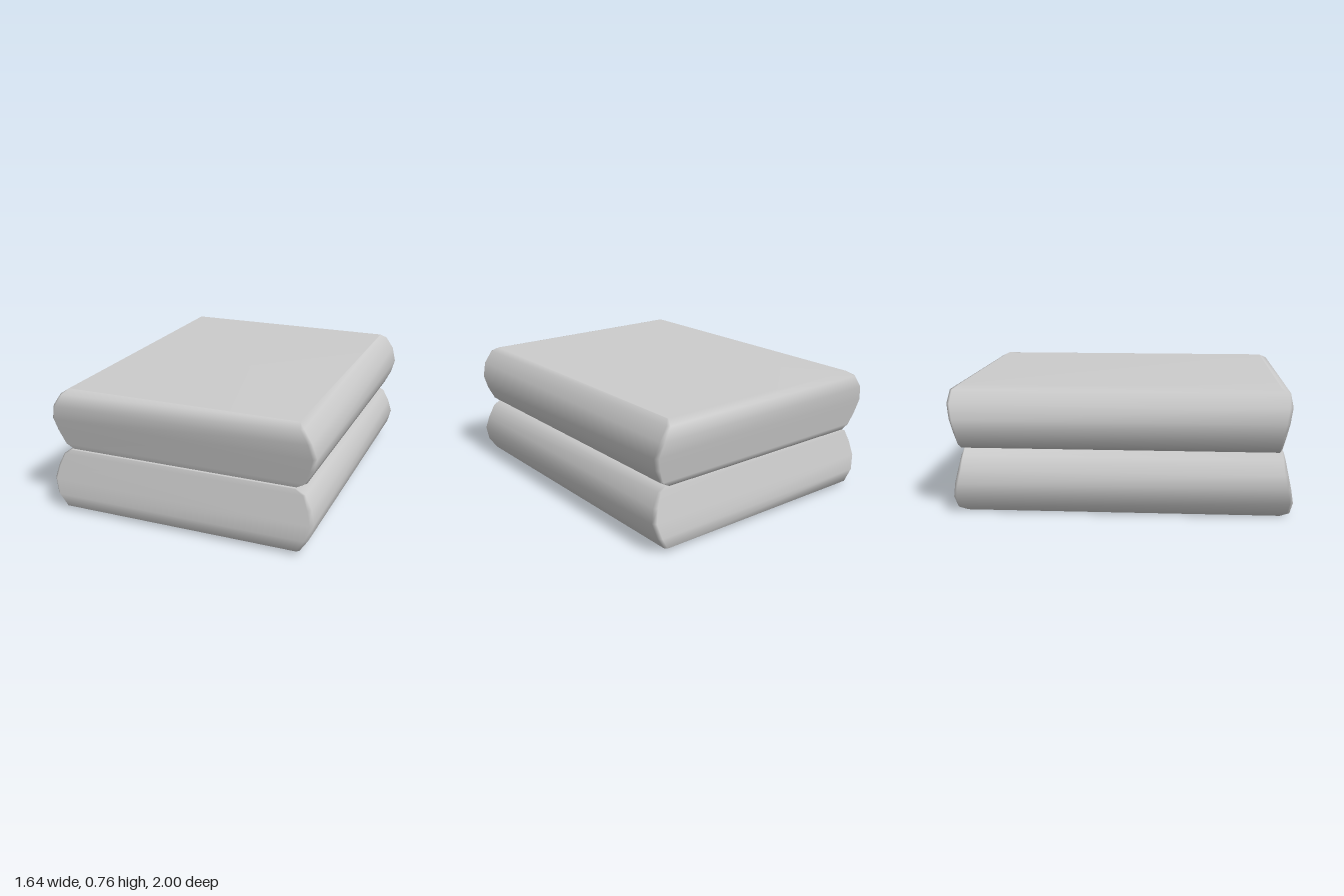
import * as THREE from 'three';

// Cushion cross-sections: height, half width (x), half depth (z), corner chamfer
const LEVELS = [
  [0.0, 0.705, 0.935, 0.004],
  [0.03, 0.76, 0.941, 0.012],
  [0.11, 0.8, 0.957, 0.02],
  [0.19, 0.82, 0.973, 0.02],
  [0.28, 0.795, 0.99, 0.02],
  [0.355, 0.745, 0.978, 0.015],
  [0.38, 0.71, 0.93, 0.004],
];

// One chamfered rectangle, counter-clockwise seen from above
function ring([y, w, d, c]) {
  return [
    [w, d - c], [w, c - d], [w - c, -d], [c - w, -d],
    [-w, c - d], [-w, d - c], [c - w, d], [w - c, d],
  ].flatMap(([x, z]) => [x, y, z]);
}

// Stack the rings into a closed, smooth cushion
function cushionGeometry() {
  const n = 8;
  const positions = LEVELS.flatMap(ring);
  const index = [];
  for (let k = 0; k < LEVELS.length - 1; k++) {
    for (let i = 0; i < n; i++) {
      const a = k * n + i;
      const b = k * n + (i + 1) % n;
      index.push(a, b, b + n, a, b + n, a + n);
    }
  }
  // Flat underside and top
  const top = (LEVELS.length - 1) * n;
  for (let i = 1; i < n - 1; i++) {
    index.push(0, i + 1, i);
    index.push(top, top + i, top + i + 1);
  }
  const geometry = new THREE.BufferGeometry();
  geometry.setAttribute('position', new THREE.Float32BufferAttribute(positions, 3));
  geometry.setIndex(index);
  geometry.computeVertexNormals();
  return geometry;
}

export function createModel() {
  const model = new THREE.Group();
  model.name = 'stackedCushions';
  const material = new THREE.MeshStandardMaterial({ color: 0xcccccc });
  const geometry = cushionGeometry();

  // Upper cushion, widest near its top
  const upper = new THREE.Mesh(geometry, material);
  upper.name = 'upperCushion';
  upper.position.set(0, 0.38, -0.01);

  // Lower cushion, the same shape turned upside down
  const lower = new THREE.Mesh(geometry, material);
  lower.name = 'lowerCushion';
  lower.rotation.z = Math.PI;
  lower.position.set(0, 0.38, 0.01);

  model.add(upper, lower);
  return model;
}
